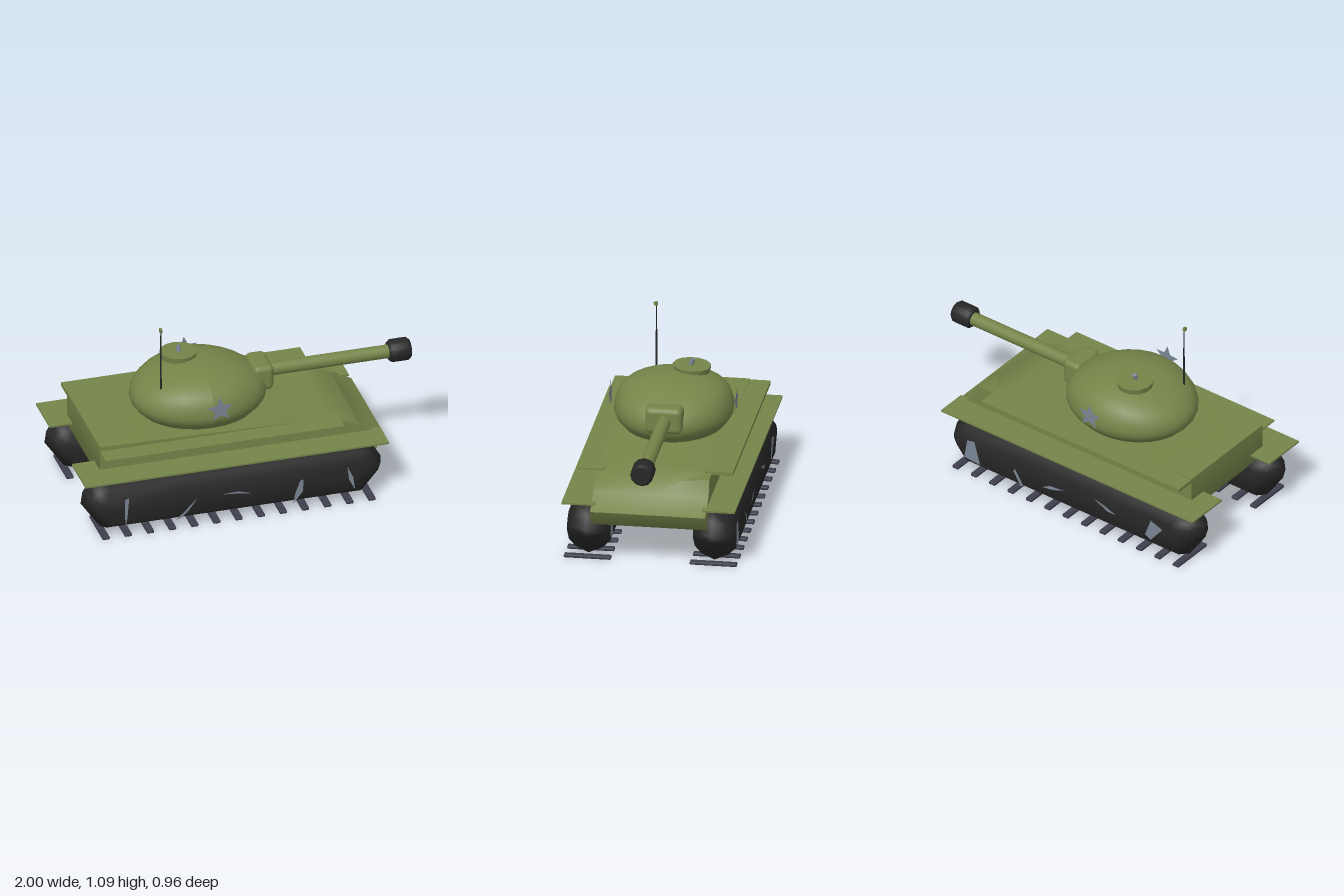
import * as THREE from 'three';
import { toCreasedNormals } from 'three/addons/utils/BufferGeometryUtils.js';
import { RoundedBoxGeometry } from 'three/addons/geometries/RoundedBoxGeometry.js';

function material(name, color, doubleSided) {
  const m = new THREE.MeshStandardMaterial({ color });
  m.name = name;
  if (doubleSided) m.side = THREE.DoubleSide;
  return m;
}

const polygon = (pts) => new THREE.Shape(pts.map(([x, y]) => new THREE.Vector2(x, y)));

// Track body: the side outline shrinks toward its long axis as it moves out to the flanks
function trackGeometry() {
  const outline = [
    [-0.88, 0.02], [-0.4, 0.02], [0.1, 0.02], [0.61, 0.02], [0.73, 0.16], [0.73, 0.205], [0.69, 0.27],
    [0.62, 0.32], [0.1, 0.32], [-0.4, 0.32], [-0.86, 0.32], [-0.935, 0.3], [-0.98, 0.25], [-0.99, 0.18],
  ];
  const half = [[0, 0.116], [0.55, 0.115], [0.8, 0.075]];
  const rings = [...half, [1, 0], ...half.map(([s, z]) => [s, -z]).reverse()];
  const n = outline.length;
  const positions = [];
  const index = [];
  rings.forEach(([s, z], k) => outline.forEach(([x, y], j) => {
    const cx = THREE.MathUtils.clamp(x, -0.79, 0.54);
    positions.push(cx + (x - cx) * s, 0.16 + (y - 0.16) * s, z);
    if (k === rings.length - 1) return;
    const a = k * n + j;
    const b = k * n + ((j + 1) % n);
    index.push(a, a + n, b, b, a + n, b + n);
  }));
  const geo = new THREE.BufferGeometry();
  geo.setAttribute('position', new THREE.Float32BufferAttribute(positions, 3));
  geo.setIndex(index);
  geo.computeVertexNormals();
  return geo;
}

export function createModel() {
  const olive = material('olive', 0x758449);
  const black = material('black', 0x262626);
  const steel = material('steel', 0x7a8494, true);
  const treadGrey = material('treadGrey', 0x3d3d4c);

  const model = new THREE.Group();
  model.name = 'tank';

  function add(name, geometry, mat, x = 0, y = 0, z = 0, parent = model) {
    const mesh = new THREE.Mesh(geometry, mat);
    mesh.name = name;
    mesh.position.set(x, y, z);
    parent.add(mesh);
    return mesh;
  }

  // Horizontal plate from an outline of [x, z] points
  function plate(name, pts, y, thickness) {
    const geo = new THREE.ExtrudeGeometry(polygon(pts.map(([x, z]) => [x, -z])),
      { depth: thickness, bevelEnabled: false });
    geo.rotateX(-Math.PI / 2);
    return add(name, geo, olive, 0, y, 0);
  }

  // Hull, extruded across from its side profile; the right front corner stays high
  const hull = new THREE.ExtrudeGeometry(polygon([
    [-0.87, 0.3], [-0.8, 0.21], [0.6, 0.2], [0.71, 0.23], [0.76, 0.32],
    [0.63, 0.39], [0.6, 0.41], [0.45, 0.47], [-0.87, 0.5],
  ]), { depth: 0.64, steps: 4, bevelEnabled: false });
  hull.translate(0, 0, -0.32);
  const hp = hull.attributes.position;
  for (let i = 0; i < hp.count; i++) {
    const t = 0.5 - hp.getZ(i) / 0.64;
    if (hp.getX(i) > 0.4 && hp.getY(i) > 0.4) {
      hp.setY(i, THREE.MathUtils.lerp(hp.getY(i), 0.487, t));
    }
  }
  add('hull', toCreasedNormals(hull, 1.2), olive);

  // Deck side plates and fenders
  plate('leftDeckPlate', [[-0.87, 0.28], [-0.87, 0.43], [0.5, 0.43], [0.5, 0.28]], 0.465, 0.008);
  plate('rightDeckPlate', [[-0.87, -0.28], [0.5, -0.28], [0.5, -0.435], [-0.87, -0.435]], 0.475, 0.02);
  for (const s of [1, -1]) {
    plate(s > 0 ? 'leftFender' : 'rightFender',
      [[-1, 0.215 * s], [-1, 0.482 * s], [0.74, 0.482 * s], [0.74, 0.3 * s], [-0.87, 0.3 * s], [-0.87, 0.215 * s]],
      0.348, 0.01);
  }

  // Exposed wheel slivers on the track flanks
  const leftSlivers = [
    [[-0.77, 0.23], [-0.745, 0.24], [-0.755, 0.12], [-0.765, 0.06], [-0.77, 0.13]],
    [[-0.48, 0.055], [-0.42, 0.11], [-0.35, 0.18], [-0.4, 0.11], [-0.44, 0.07]],
    [[-0.22, 0.175], [-0.12, 0.18], [-0.04, 0.155], [-0.13, 0.168]],
    [[0.195, 0.05], [0.205, 0.11], [0.235, 0.19], [0.255, 0.195], [0.25, 0.12]],
    [[0.505, 0.235], [0.515, 0.15], [0.55, 0.08], [0.54, 0.16]],
  ];
  const rightSlivers = [
    [[-0.78, 0.2], [-0.7, 0.23], [-0.66, 0.12], [-0.7, 0.1]],
    [[-0.46, 0.16], [-0.38, 0.19], [-0.3, 0.21], [-0.4, 0.16]],
    [[-0.1, 0.17], [0, 0.16], [0.05, 0.13], [-0.02, 0.14]],
    [[0.18, 0.08], [0.24, 0.17], [0.25, 0.15], [0.2, 0.07]],
    [[0.48, 0.09], [0.52, 0.23], [0.57, 0.22], [0.59, 0.1]],
  ];
  const trackGeo = trackGeometry();
  const treadGeo = new RoundedBoxGeometry(0.042, 0.018, 0.262, 1, 0.006);
  for (const s of [1, -1]) {
    const track = new THREE.Group();
    track.name = s > 0 ? 'leftTrack' : 'rightTrack';
    track.position.z = 0.35 * s;
    model.add(track);
    add('trackBody', trackGeo, black, 0, 0, 0, track);
    for (const side of [1, -1]) {
      for (const pts of side > 0 ? leftSlivers : rightSlivers) {
        add('wheelSliver', new THREE.ShapeGeometry(polygon(pts)), steel, 0, 0, 0.1175 * side, track);
      }
    }
    for (let i = 0; i < 13; i++) add('tread', treadGeo, treadGrey, -0.88 + i * 0.127, 0.011, 0, track);
  }

  // Turret: flattened dome, longer than wide, falling away toward front and back
  const dome = new THREE.SplineCurve([
    [0, 0.485], [0.74, 0.485], [0.88, 0.508], [0.975, 0.548], [1, 0.595], [0.95, 0.66],
    [0.82, 0.715], [0.58, 0.755], [0.3, 0.776], [0, 0.782],
  ].map(([r, y]) => new THREE.Vector2(r, y))).getPoints(24);
  dome.forEach((p) => { p.x = Math.max(p.x, 0); });
  const turretGeo = new THREE.LatheGeometry(dome, 28);
  turretGeo.scale(0.383, 1, 0.33);
  const tp = turretGeo.attributes.position;
  for (let i = 0; i < tp.count; i++) {
    const rise = Math.max(tp.getY(i) - 0.6, 0);
    tp.setY(i, tp.getY(i) - 2 * rise * tp.getX(i) ** 2);
  }
  turretGeo.computeVertexNormals();
  add('turret', turretGeo, olive, -0.215, 0, 0);

  // Gun along +x
  const alongX = (r, length, sides) => new THREE.CylinderGeometry(r, r, length, sides).rotateZ(-Math.PI / 2);
  add('mantlet', new RoundedBoxGeometry(0.115, 0.15, 0.206, 3, 0.03), olive, 0.138, 0.645, 0);
  add('barrel', alongX(0.038, 0.72, 20), olive, 0.54, 0.645, -0.005);
  const muzzle = new THREE.LatheGeometry([
    [0, -0.062], [0.052, -0.062], [0.064, -0.047], [0.064, 0.047], [0.052, 0.062], [0, 0.062],
  ].map(([r, y]) => new THREE.Vector2(r, y)), 12).rotateZ(-Math.PI / 2);
  add('muzzle', toCreasedNormals(muzzle, 0.7), black, 0.938, 0.647, -0.003);

  // Commander hatch with a small knob
  const hatch = add('hatch', new THREE.CylinderGeometry(0.106, 0.1, 0.034, 14), olive, -0.3, 0.78, -0.085);
  hatch.rotation.x = -0.05;
  const knob = add('hatchKnob', new THREE.CylinderGeometry(0.013, 0.013, 0.036, 8), steel, -0.3, 0.812, -0.085);
  knob.rotation.x = -0.35;

  // Antenna
  add('antenna', new THREE.CylinderGeometry(0.003, 0.006, 0.38, 8), black, -0.467, 0.88, 0.138);
  const tip = add('antennaTip', new THREE.BoxGeometry(0.014, 0.02, 0.02), olive, -0.469, 1.077, 0.142);
  tip.rotation.x = 0.25;

  // Upright five-pointed stars on both turret sides
  const starPoints = [];
  for (let i = 0; i < 10; i++) {
    const r = i % 2 ? 0.034 : 0.078;
    const a = Math.PI / 2 + 0.05 + (i * Math.PI) / 5;
    starPoints.push([r * Math.cos(a), r * Math.sin(a)]);
  }
  const starGeo = new THREE.ShapeGeometry(polygon(starPoints));
  for (const s of [1, -1]) {
    add(s > 0 ? 'leftStar' : 'rightStar', starGeo, steel, -0.187, 0.643, 0.35 * s);
  }

  return model;
}
